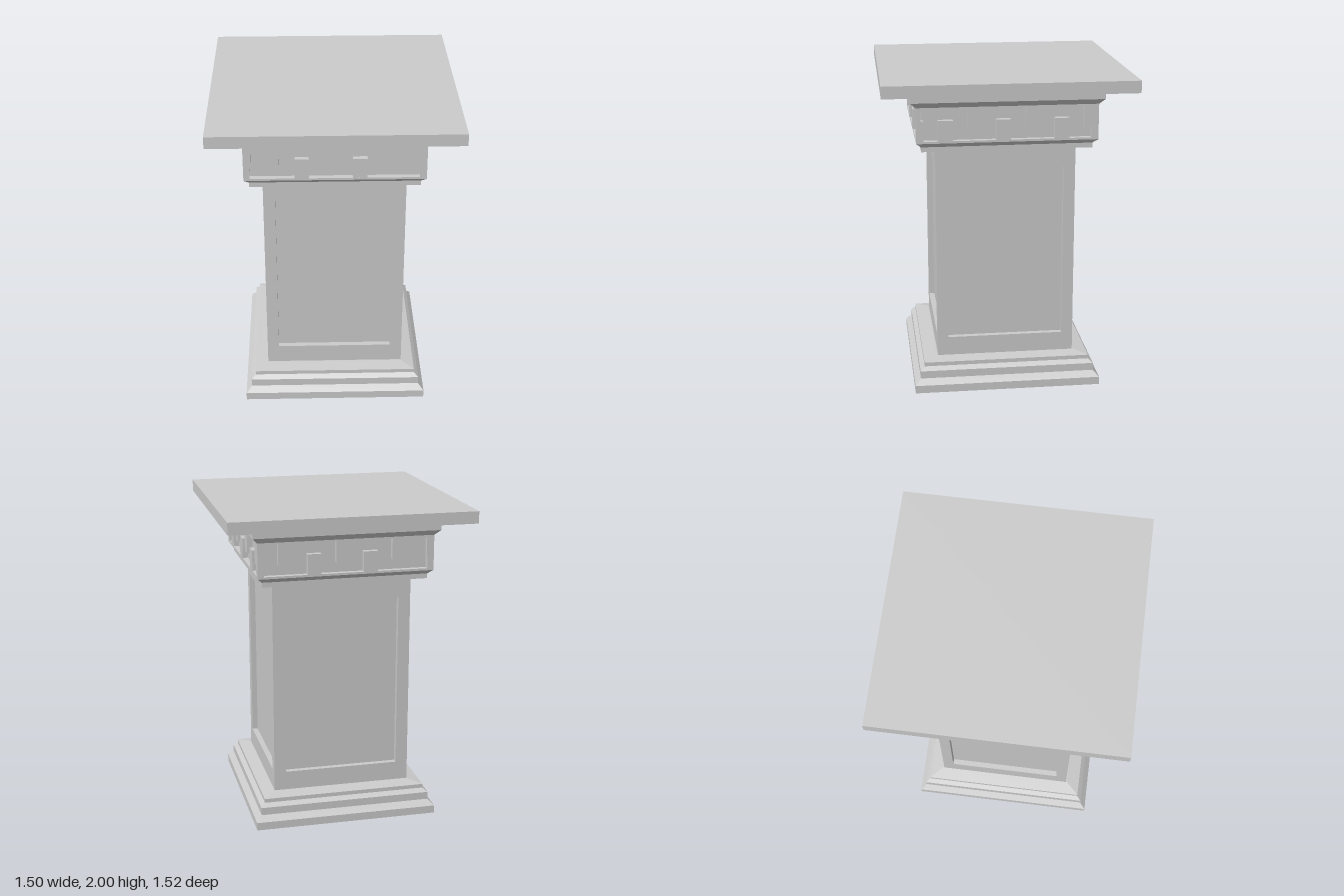
import * as THREE from 'three';

const material = new THREE.MeshStandardMaterial({ color: 0xcccccc, flatShading: true });

function add(parent, name, geometry, x = 0, y = 0, z = 0) {
  const mesh = new THREE.Mesh(geometry, material);
  mesh.name = name;
  mesh.position.set(x, y, z);
  parent.add(mesh);
  return mesh;
}

// Square moulding swept from a [half width, height] profile, bottom to top
function squareMoulding(profile, zScale) {
  const points = profile.map(([w, y]) => new THREE.Vector2(w * Math.SQRT2, y));
  const geometry = new THREE.LatheGeometry(points, 4, Math.PI / 4).toNonIndexed();
  geometry.scale(1, 1, zScale);
  geometry.computeVertexNormals();
  return geometry;
}

// Raised frame around a sunken panel, back at z = 0
function panelFrame(half, y0, y1, depth) {
  const rect = (T, a, b, c, d) =>
    new T([[a, c], [b, c], [b, d], [a, d]].map(([x, y]) => new THREE.Vector2(x, y)));
  const shape = rect(THREE.Shape, -half, half, y0, y1);
  shape.holes.push(rect(THREE.Path, -0.364, 0.361, 0.313, 1.416));
  return new THREE.ExtrudeGeometry(shape, { depth, bevelEnabled: false });
}

export function createModel() {
  const group = new THREE.Group();
  group.name = 'pedestal';

  // Stepped base
  add(group, 'base', squareMoulding([
    [0, 0], [0.58, 0], [0.58, 0.05], [0.545, 0.085], [0.545, 0.133],
    [0.518, 0.155], [0.518, 0.18], [0.435, 0.193], [0, 0.193],
  ], 1.013));

  // Shaft core with a framed panel on each side
  const w = 0.437, d = 0.433, recess = 0.035;
  const y0 = 0.17, y1 = 1.56;
  add(group, 'shaftCore',
    new THREE.BoxGeometry(2 * (w - recess), y1 - y0, 2 * (d - recess)), 0, (y0 + y1) / 2, 0);
  for (let i = 0; i < 4; i++) {
    const side = new THREE.Group();
    side.name = 'shaftSide';
    side.rotation.y = i * Math.PI / 2;
    const half = i % 2 ? d : w, out = i % 2 ? w : d;
    add(side, 'panelFrame', panelFrame(half, y0, y1, recess), 0, 0, out - recess);
    group.add(side);
  }

  // Capital: neck moulding, recessed frieze, crown moulding and top slab
  add(group, 'capital', squareMoulding([
    [0, 1.538], [0.435, 1.538], [0.515, 1.55], [0.515, 1.58], [0.545, 1.607],
    [0.545, 1.62], [0.51, 1.62], [0.51, 1.815], [0.545, 1.815], [0.545, 1.826],
    [0.577, 1.86], [0.577, 1.905], [0.75, 1.926], [0.75, 2], [0, 2],
  ], 1.013));

  // Interlocking teeth [from, to] along each face; opposite faces repeat by half a turn
  const faces = [
    { half: 0.545, out: 0.552,
      upper: [[-0.42, -0.336], [-0.066, 0.019], [0.283, 0.368]],
      lower: [[-0.545, -0.508], [-0.241, -0.156], [0.105, 0.192], [0.505, 0.545]] },
    { half: 0.552, out: 0.545,
      upper: [[-0.552, -0.523], [-0.241, -0.156], [0.109, 0.193], [0.464, 0.552]],
      lower: [[-0.421, -0.331], [-0.071, 0.019], [0.284, 0.374]] },
  ];
  for (let i = 0; i < 4; i++) {
    const face = faces[i % 2];
    const frieze = new THREE.Group();
    frieze.name = 'friezeSide';
    frieze.rotation.y = i * Math.PI / 2;
    const rows = [['upperTooth', face.upper, 1.687, 1.817], ['lowerTooth', face.lower, 1.618, 1.745]];
    for (const [name, spans, bottom, top] of rows) {
      for (const [a, b] of spans) {
        add(frieze, name, new THREE.BoxGeometry(b - a, top - bottom, 0.045),
          (a + b) / 2, (top + bottom) / 2, face.out - 0.0225);
      }
    }
    group.add(frieze);
  }
  return group;
}
